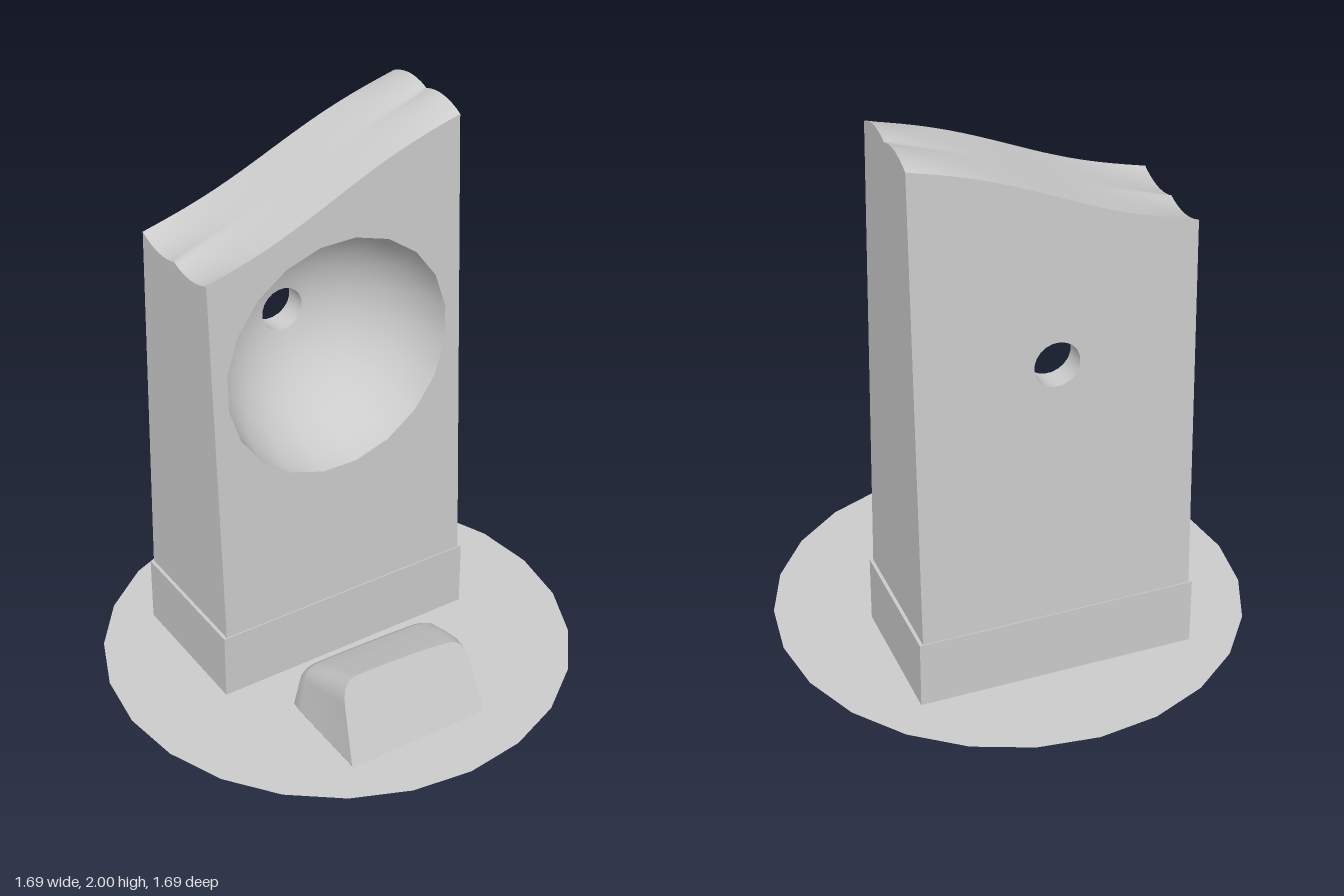
import * as THREE from 'three';
import { mergeVertices } from 'three/addons/utils/BufferGeometryUtils.js';

const HALF = 0.488, BASE_Y = 0.25, DISH_Y = 1.215, DISH_R = 0.435, HOLE_R = 0.08;
const SIDES = 20, PHASE = THREE.MathUtils.degToRad(8);
const lerp = THREE.MathUtils.lerp;
const material = new THREE.MeshStandardMaterial({ color: 0xcccccc, side: THREE.DoubleSide });

// Tapering front and back planes of the slab
const frontZ = y => 0.055 - 0.041 * (y - BASE_Y);
const backZ = y => -0.468 + 0.036 * (y - BASE_Y);

// Slanted, slightly S-curved top; broken ripples grow toward both ends
const topLine = x => 1.806 + 0.343 * x + 0.015 * Math.sin(Math.PI * x / HALF);
function topY(x, t) {
  const ripple = 0.02 * Math.abs(Math.sin(2 * Math.PI * t)) ** 0.8 + 0.012 * Math.sin(Math.PI * t);
  return topLine(x) + ripple * (x / HALF) ** 3;
}

function addMesh(group, name, geometry) {
  const mesh = new THREE.Mesh(geometry, material);
  mesh.name = name;
  group.add(mesh);
  return mesh;
}

// Surface grid: fn(u, v) returns [x, y, z]; it faces along du x dv
function sheet(nu, nv, fn) {
  const g = new THREE.PlaneGeometry(1, 1, nu, nv);
  const p = g.attributes.position, uv = g.attributes.uv;
  for (let i = 0; i < p.count; i++) p.setXYZ(i, ...fn(uv.getX(i), uv.getY(i)));
  g.deleteAttribute('uv');
  g.deleteAttribute('normal');
  const merged = mergeVertices(g);
  merged.computeVertexNormals();
  return merged;
}

// Point on the many-sided circle shared by dish and hole
function ring(r, v) {
  const a = PHASE + v * Math.PI * 2;
  return [r * Math.cos(a), DISH_Y + r * Math.sin(a)];
}

// Flat face of the slab with a round opening, laid on a tilted plane
function slabFace(holeRadius, planeZ, flip) {
  const outline = [new THREE.Vector2(-HALF, BASE_Y), new THREE.Vector2(HALF, BASE_Y)];
  for (let i = 24; i >= 0; i--) {
    const x = lerp(-HALF, HALF, i / 24);
    outline.push(new THREE.Vector2(x, topLine(x)));
  }
  const shape = new THREE.Shape(outline);
  const hole = [];
  for (let i = 0; i < SIDES; i++) hole.push(new THREE.Vector2(...ring(holeRadius, i / SIDES)));
  shape.holes.push(new THREE.Path(hole));
  const g = new THREE.ShapeGeometry(shape);
  const p = g.attributes.position;
  for (let i = 0; i < p.count; i++) p.setZ(i, planeZ(p.getY(i)));
  if (flip) g.index.array.reverse();
  g.computeVertexNormals();
  return g;
}

function createSlab() {
  const slab = new THREE.Group();
  slab.name = 'slab';
  addMesh(slab, 'frontFace', slabFace(DISH_R, frontZ, false));
  addMesh(slab, 'backFace', slabFace(HOLE_R, backZ, true));
  for (const side of [1, -1]) {
    addMesh(slab, side > 0 ? 'leftFace' : 'rightFace', sheet(24, 1, (u, v) => {
      const t = side > 0 ? u : 1 - u;
      const y = lerp(BASE_Y, topY(side * HALF, t), v);
      return [side * HALF, y, lerp(frontZ(y), backZ(y), t)];
    }));
  }
  addMesh(slab, 'brokenTop', sheet(24, 24, (u, v) => {
    const x = lerp(-HALF, HALF, u), y = topY(x, v);
    return [x, y, lerp(frontZ(y), backZ(y), v)];
  }));

  // Hollow bowl, with a small bore through to the back
  const R = 0.44, c = Math.sqrt(R * R - DISH_R * DISH_R);
  const bowlZ = (r, y) => frontZ(y) - Math.sqrt(R * R - r * r) + c;
  addMesh(slab, 'dish', sheet(14, SIDES, (u, v) => {
    const r = lerp(HOLE_R, DISH_R, Math.sin(u * Math.PI / 2));
    const [x, y] = ring(r, v);
    return [x, y, bowlZ(r, y)];
  }));
  addMesh(slab, 'bore', sheet(1, SIDES, (u, v) => {
    const [x, y] = ring(HOLE_R, v);
    return [x, y, lerp(backZ(y), bowlZ(HOLE_R, y), u)];
  }));
  return slab;
}

// Rounded wedge stone, lofted from front to back
function createStone() {
  const stone = new THREE.Group();
  stone.name = 'stone';
  const s = new THREE.Shape();
  s.moveTo(0, 0.03);
  s.lineTo(0.04, 0.72);
  s.quadraticCurveTo(0.06, 1, 0.16, 1);
  s.quadraticCurveTo(0.5, 1, 0.83, 0.94);
  s.quadraticCurveTo(0.95, 0.92, 0.97, 0.7);
  s.lineTo(1, 0.1);
  s.quadraticCurveTo(1, 0, 0.95, 0);
  s.lineTo(0.02, 0);
  s.quadraticCurveTo(0, 0, 0, 0.03);
  const outline = s.getPoints(7);
  if (outline[0].distanceTo(outline.at(-1)) < 1e-6) outline.pop();
  const n = outline.length;

  // z at foot, z at top, height, right x, left x
  const sections = [
    [0.615, 0.50, 0.287, -0.33, 0.215],
    [0.50, 0.44, 0.26, -0.33, 0.238],
    [0.40, 0.36, 0.222, -0.33, 0.253],
    [0.28, 0.27, 0.18, -0.33, 0.26],
    [0.23, 0.24, 0.158, -0.325, 0.25],
    [0.213, 0.22, 0.125, -0.305, 0.22],
  ];
  const place = ([zFoot, zTop, h, x0, x1], p) => [lerp(x0, x1, p.x), p.y * h, lerp(zFoot, zTop, p.y)];
  const build = (positions, index) => {
    const g = new THREE.BufferGeometry();
    g.setAttribute('position', new THREE.Float32BufferAttribute(positions, 3));
    g.setIndex(index);
    g.computeVertexNormals();
    return g;
  };

  const body = [], faces = [];
  sections.forEach((sec, i) => outline.forEach((p, j) => {
    body.push(...place(sec, p));
    if (i === sections.length - 1) return;
    const k = (j + 1) % n, a = i * n + j, b = i * n + k;
    faces.push(a, b, b + n, a, b + n, a + n);
  }));
  addMesh(stone, 'stoneBody', build(body, faces));

  const middle = new THREE.Vector2(0.5, 0.5);
  for (const front of [true, false]) {
    const sec = sections.at(front ? 0 : -1);
    const points = [middle, ...outline].flatMap(p => place(sec, p)), tris = [];
    for (let j = 0; j < n; j++) {
      const a = 1 + j, b = 1 + (j + 1) % n;
      tris.push(0, front ? b : a, front ? a : b);
    }
    addMesh(stone, front ? 'stoneFront' : 'stoneBack', build(points, tris));
  }
  return stone;
}

export function createModel() {
  const model = new THREE.Group();
  model.name = 'monument';

  // Flat round ground disc
  const disc = addMesh(model, 'groundDisc', new THREE.CircleGeometry(0.845, 24));
  disc.rotation.x = -Math.PI / 2;

  // Plinth under the slab
  const plinth = addMesh(model, 'plinth', new THREE.BoxGeometry(1, BASE_Y, 0.53));
  plinth.position.set(0, BASE_Y / 2, -0.206);

  model.add(createSlab(), createStone());
  return model;
}
